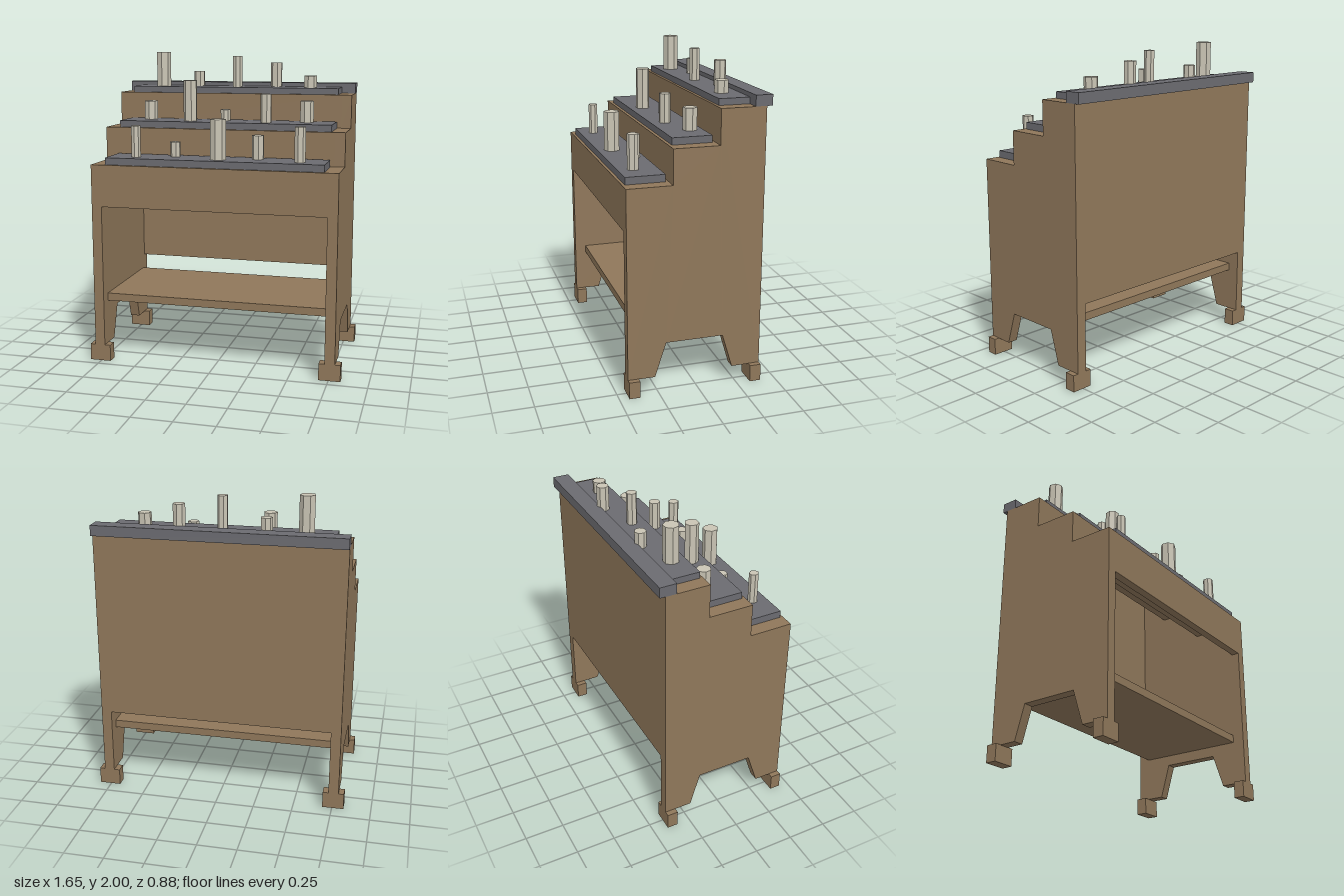
import * as THREE from 'three';

export function createModel() {
  const group = new THREE.Group();
  const material = (name, color) => {
    const m = new THREE.MeshStandardMaterial({ color });
    m.name = name;
    return m;
  };
  const wood = material('wood', 0x8f775a);
  const slate = material('slate', 0x6b6b70);
  const wax = material('wax', 0xc9c4b4);

  const add = (name, geometry, mat) => {
    const mesh = new THREE.Mesh(geometry, mat);
    mesh.name = name;
    group.add(mesh);
    return mesh;
  };
  // box given by its limits on each axis
  const box = (name, mat, [x0, x1], [y0, y1], [z0, z1]) =>
    add(name, new THREE.BoxGeometry(x1 - x0, y1 - y0, z1 - z0), mat)
      .position.set((x0 + x1) / 2, (y0 + y1) / 2, (z0 + z1) / 2);
  // (z, y) profile extruded along x from x0 to x1
  const extrudeX = (points, x0, x1) => {
    const shape = new THREE.Shape(points.map(([z, y]) => new THREE.Vector2(-z, y)));
    return new THREE.ExtrudeGeometry(shape, { depth: x1 - x0, bevelEnabled: false })
      .rotateY(Math.PI / 2).translate(x0, 0, 0);
  };

  const front = 0.44, back = -0.405, inner = 0.725, outer = 0.79;
  const steps = [[front, 1.3], [0.16, 1.3], [0.16, 1.515], [-0.125, 1.515], [-0.125, 1.73], [back, 1.73]];

  // stepped side panels with a cut-out between the legs
  const sideProfile = [...steps, [back, 0.105], [-0.225, 0.105], [-0.16, 0.322], [0.2, 0.322], [0.27, 0.105], [front, 0.105]];
  add('leftSide', extrudeX(sideProfile, inner, outer), wood);
  add('rightSide', extrudeX(sideProfile, -outer, -inner), wood);

  // hollow stepped body: front apron, treads, risers and back panel
  const t = 0.05;
  const innerSteps = steps.map(([z, y], i) => [i === 5 ? z + t : z - t, y - t]).reverse();
  add('steppedBody', extrudeX(
    [[front, 1.03], ...steps, [back, 0.535], [back + t, 0.535], ...innerSteps, [front - t, 1.03]],
    -inner, inner), wood);

  // lower shelf
  box('shelf', wood, [-inner, inner], [0.39, 0.44], [-0.33, 0.365]);

  // feet
  for (const s of [-1, 1]) {
    const x = s > 0 ? [0.688, 0.825] : [-0.825, -0.688];
    box('frontFoot', wood, x, [0, 0.107], [0.372, front]);
    box('backFoot', wood, x, [0, 0.107], [back, -0.335]);
  }

  // slabs on the steps and the rail along the back
  box('frontSlab', slate, [-0.7, 0.7], [1.3, 1.345], [0.178, 0.422]);
  box('middleSlab', slate, [-0.7, 0.7], [1.515, 1.558], [-0.107, 0.14]);
  box('topSlab', slate, [-0.7, 0.7], [1.73, 1.77], [-0.385, -0.143]);
  box('backRail', slate, [-outer, outer], [1.73, 1.796], [-0.44, -0.335]);

  // candles per step: x, z, radius, top
  const rows = [
    [1.345, [[-0.523, 0.33, 0.03, 1.545], [-0.285, 0.25, 0.033, 1.44], [0.017, 0.33, 0.05, 1.597],
      [0.256, 0.25, 0.039, 1.495], [0.535, 0.33, 0.035, 1.562]]],
    [1.558, [[-0.541, -0.03, 0.045, 1.68], [-0.242, 0.05, 0.045, 1.822], [-0.026, -0.03, 0.033, 1.63],
      [0.264, 0.05, 0.037, 1.74], [0.515, -0.03, 0.045, 1.695]]],
    [1.77, [[-0.514, -0.23, 0.049, 2], [-0.281, -0.31, 0.037, 1.87], [0.006, -0.23, 0.033, 1.975],
      [0.26, -0.31, 0.039, 1.93], [0.503, -0.23, 0.043, 1.848]]],
  ];
  const candleWax = wax;
  candleWax.flatShading = true;
  for (const [base, candles] of rows) {
    candles.forEach(([x, z, r, top], i) => {
      const candle = add('candle', new THREE.CylinderGeometry(r, r, top - base, 7), candleWax);
      candle.position.set(x, (base + top) / 2, z);
      candle.rotation.y = i * 1.3;
    });
  }
  return group;
}
